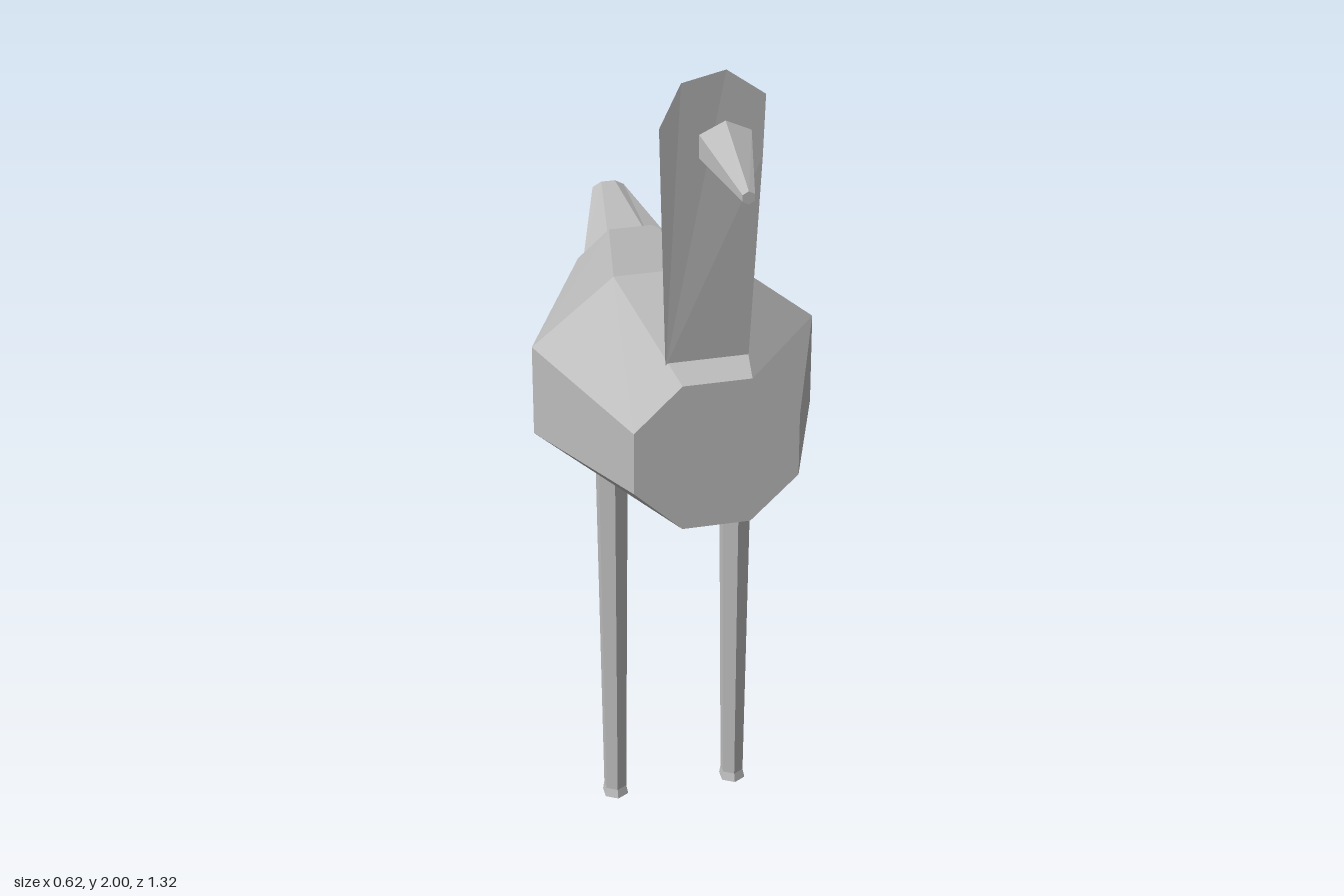
import * as THREE from 'three';

const grey = new THREE.MeshStandardMaterial({ color: 0xbcbcbc, flatShading: true });
grey.name = 'plainGrey';
grey.side = THREE.DoubleSide;

// Closed faceted solid through rings of equal point counts, ordered along their axis.
function loft(name, rings) {
  const pos = [];
  const tri = (a, b, c) => pos.push(...a, ...b, ...c);
  const n = rings[0].length;
  for (let k = 0; k < rings.length - 1; k++) {
    for (let i = 0; i < n; i++) {
      const j = (i + 1) % n, lo = rings[k], hi = rings[k + 1];
      tri(lo[i], lo[j], hi[j]);
      tri(lo[i], hi[j], hi[i]);
    }
  }
  const first = rings[0], last = rings[rings.length - 1];
  for (let i = 1; i < n - 1; i++) {
    tri(first[0], first[i + 1], first[i]);
    tri(last[0], last[i], last[i + 1]);
  }
  return finish(name, pos);
}

function finish(name, pos) {
  const geo = new THREE.BufferGeometry();
  geo.setAttribute('position', new THREE.Float32BufferAttribute(pos, 3));
  geo.computeVertexNormals();
  const mesh = new THREE.Mesh(geo, grey);
  mesh.name = name;
  return mesh;
}

// Octagon facing +z: half widths at bottom, side and top, then four heights upward.
function octagon(z, bottom, side, top, y0, y1, y2, y3) {
  return [
    [bottom, y0, z], [side, y1, z], [side, y2, z], [top, y3, z],
    [-top, y3, z], [-side, y2, z], [-side, y1, z], [-bottom, y0, z],
  ];
}

// Hexagon facing +z with a point at top and bottom.
function hexagon(z, y, rx, ry) {
  return Array.from({ length: 6 }, (_, i) => {
    const t = (i + 0.5) * Math.PI / 3;
    return [rx * Math.cos(t), y + ry * Math.sin(t), z];
  });
}

export function createModel() {
  const model = new THREE.Group();
  model.name = 'bird';

  // Body
  model.add(loft('body', [
    octagon(-0.41, 0.05, 0.122, 0.05, 1.02, 1.085, 1.18, 1.245),
    octagon(0.025, 0.11, 0.31, 0.13, 0.855, 1.0, 1.215, 1.365),
    octagon(0.43, 0.073, 0.175, 0.073, 0.975, 1.075, 1.22, 1.32),
  ]));

  // Tail
  model.add(loft('tail', [
    octagon(-0.657, 0.016, 0.037, 0.016, 1.185, 1.197, 1.228, 1.24),
    octagon(-0.408, 0.05, 0.11, 0.05, 1.1, 1.118, 1.18, 1.2),
  ]));

  // Neck and head: one thin sheet leaning forward
  const outline = new THREE.Shape([
    [-0.09, 1.32], [0.085, 1.32], [0.098, 1.8], [0.1, 1.94],
    [0.02, 2.0], [-0.07, 1.98], [-0.113, 1.885],
  ].map(([x, y]) => new THREE.Vector2(x, y)));
  const sheet = new THREE.ShapeGeometry(outline);
  const p = sheet.attributes.position;
  for (let i = 0; i < p.count; i++) {
    p.setZ(i, 0.347 + 0.05 * Math.min(1, (p.getY(i) - 1.32) / 0.6));
  }
  sheet.computeVertexNormals();
  const neck = new THREE.Mesh(sheet, grey);
  neck.name = 'neckAndHead';
  model.add(neck);

  // Beak
  model.add(loft('beak', [
    hexagon(0.475, 1.88, 0.06, 0.05),
    hexagon(0.662, 1.857, 0.014, 0.014),
  ]));

  // Legs
  for (const side of [1, -1]) {
    const ring = (y, r, z) => Array.from({ length: 6 }, (_, i) => {
      const t = i * Math.PI / 3;
      return [side * 0.14 + r * Math.sin(t), y, z + r * Math.cos(t)];
    });
    model.add(loft(side > 0 ? 'leftLeg' : 'rightLeg', [
      ring(0, 0.031, 0.034),
      ring(0.02, 0.027, 0.031),
      ring(0.885, 0.037, 0.03),
      ring(0.9, 0.03, 0.03),
    ]));
  }

  return model;
}
